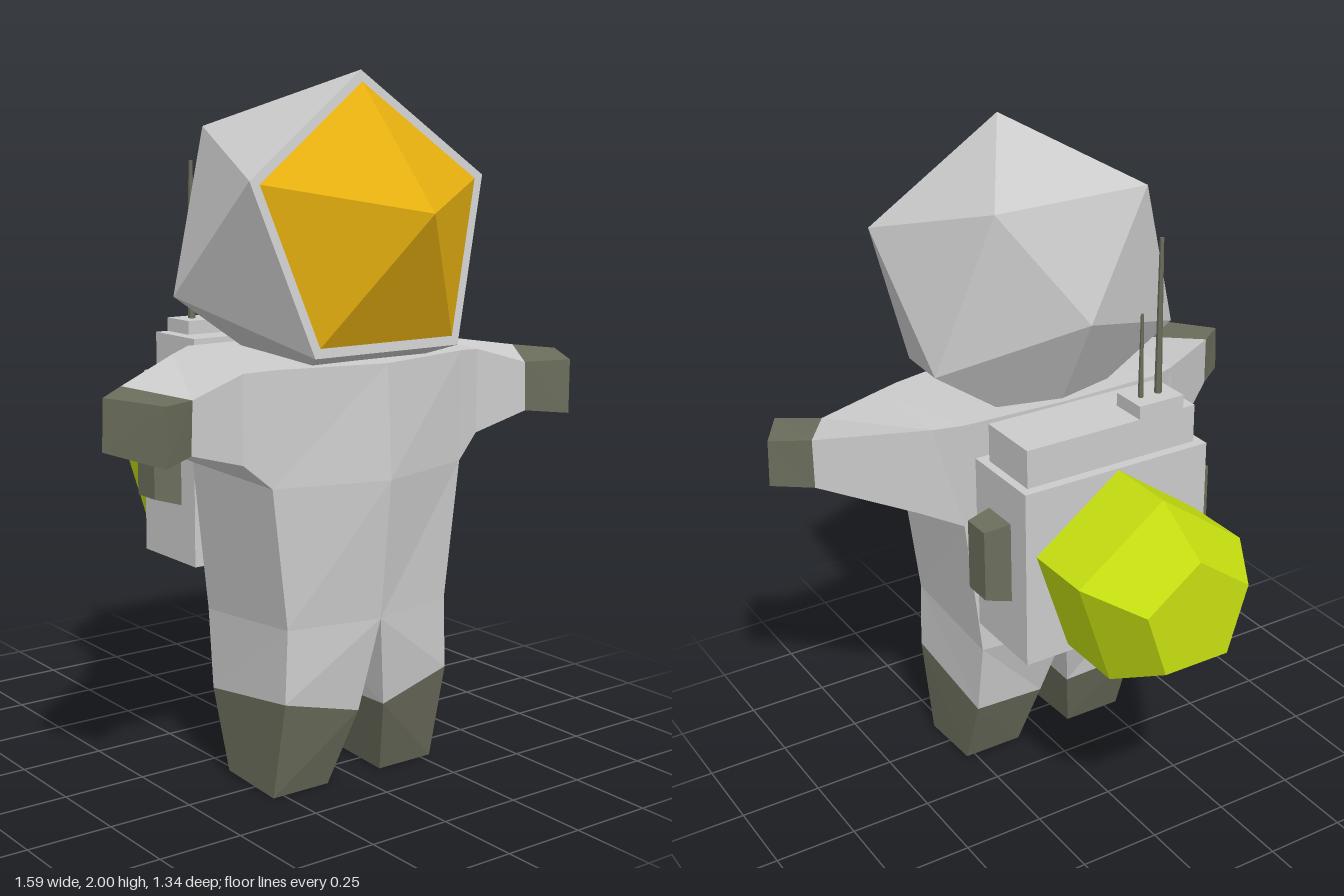
import * as THREE from 'three';
import { ConvexGeometry } from 'three/addons/geometries/ConvexGeometry.js';

const material = (color) => new THREE.MeshStandardMaterial({ color, flatShading: true });
const grey = material(0xcccccc);
const dark = material(0x6b6d5c);
const gold = material(0xe6b010);
const lime = material(0xc6df10);

// Skins a stack of matching rings and closes both ends; faces are turned outwards.
function loft(rings) {
  const tris = [];
  const v = (p) => new THREE.Vector3(...p);
  const loops = rings.map((r) => r.map(v));
  const n = loops[0].length;
  for (let i = 0; i < loops.length - 1; i++) {
    for (let j = 0; j < n; j++) {
      const k = (j + 1) % n;
      const [a, b, c, d] = [loops[i][j], loops[i][k], loops[i + 1][k], loops[i + 1][j]];
      tris.push([a, b, c], [a, c, d]);
    }
  }
  const first = loops[0], last = loops[loops.length - 1];
  for (let j = 1; j < n - 1; j++) {
    tris.push([first[0], first[j + 1], first[j]], [last[0], last[j], last[j + 1]]);
  }
  const volume = tris.reduce((s, [a, b, c]) => s + a.dot(b.clone().cross(c)), 0);
  const points = tris.flatMap((t) => (volume < 0 ? [t[0], t[2], t[1]] : t));
  const geometry = new THREE.BufferGeometry().setFromPoints(points);
  geometry.computeVertexNormals();
  return geometry;
}

export function createModel() {
  const model = new THREE.Group();
  const add = (name, geometry, mat, parent = model) => {
    const mesh = new THREE.Mesh(geometry, mat);
    mesh.name = name;
    parent.add(mesh);
    return mesh;
  };
  const box = (name, x0, x1, y0, y1, z0, z1, parent) =>
    add(name, new THREE.BoxGeometry(x1 - x0, y1 - y0, z1 - z0), grey, parent)
      .position.set((x0 + x1) / 2, (y0 + y1) / 2, (z0 + z1) / 2);

  // Helmet: a tilted icosahedron with a flat front and a shallower back
  const centre = new THREE.Vector3(0, 1.55, 0.222);
  const forward = new THREE.Vector3(0, 0.171, 0.985);
  const up = new THREE.Vector3(0, 0.985, -0.171);
  const pentagon = (depth, radius, turn) => Array.from({ length: 5 }, (_, i) => {
    const a = turn + (i * Math.PI * 2) / 5;
    return centre.clone().addScaledVector(forward, depth)
      .addScaledVector(up, Math.cos(a) * radius)
      .add(new THREE.Vector3(Math.sin(a) * radius, 0, 0));
  });
  add('helmet', new ConvexGeometry([
    ...pentagon(0.21, 0.42, 0), ...pentagon(-0.21, 0.42, Math.PI / 5),
    new THREE.Vector3(0, 1.515, -0.14),
  ]), grey);
  add('visor', new ConvexGeometry([
    ...pentagon(0.211, 0.388, 0), new THREE.Vector3(0, 1.63, 0.67),
  ]), gold);

  // Torso: six-sided rings with a ridge down the chest
  const torsoRing = (x, y, yBack, front, side, sideBack, back) => [
    [0, y, front], [x, y, side], [x, yBack, sideBack],
    [0, yBack, back], [-x, yBack, sideBack], [-x, y, side],
  ];
  add('torso', loft([
    torsoRing(0.28, 0.5, 0.47, 0.465, 0.41, 0.02, -0.012),
    torsoRing(0.33, 0.9, 0.91, 0.505, 0.41, 0.02, -0.01),
    torsoRing(0.33, 1.22, 1.24, 0.485, 0.41, 0, -0.012),
  ]), grey);

  // Limbs and pack pods, mirrored left and right
  const pack = new THREE.Group();
  pack.name = 'backpack';
  model.add(pack);
  for (const [s, sideName] of [[1, 'left'], [-1, 'right']]) {
    const flip = (ring) => ring.map(([x, y, z]) => [s * x, y, z]);

    const hip = flip([[0, 0.5, 0.465], [0.28, 0.5, 0.41], [0.28, 0.47, 0.02], [0, 0.47, -0.012]]);
    const ankle = flip([[0.045, 0.23, 0.425], [0.288, 0.29, 0.41], [0.285, 0.24, 0.05], [0.05, 0.22, 0.065]]);
    const sole = flip([[0.095, 0, 0.35], [0.285, 0, 0.35], [0.285, 0.012, 0.13], [0.095, 0.012, 0.13]]);
    add(sideName + 'Leg', loft([hip, ankle]), grey);
    add(sideName + 'Boot', loft([ankle, sole]), dark);

    const shoulder = flip([[0.33, 1.22, 0.41], [0.33, 0.9, 0.41], [0.33, 0.91, 0.02], [0.33, 1.24, 0]]);
    const upperArm = flip([[0.41, 1.215, 0.39], [0.41, 0.97, 0.39], [0.45, 0.965, 0.07], [0.41, 1.228, 0.045]]);
    const wrist = flip([[0.58, 1.165, 0.41], [0.585, 1.02, 0.41], [0.69, 1.04, 0.24], [0.69, 1.19, 0.24]]);
    const knuckles = flip([[0.7, 1.17, 0.475], [0.7, 1.01, 0.475], [0.795, 1.04, 0.32], [0.79, 1.18, 0.32]]);
    add(sideName + 'Arm', loft([shoulder, upperArm, wrist]), grey);
    add(sideName + 'Glove', loft([wrist, knuckles]), dark);

    const podRing = (x, y0, y1, z0, z1) => flip([[x, y0, z0], [x, y1, z0], [x, y1, z1], [x, y0, z1]]);
    add(sideName + 'Pod', loft([
      podRing(0.3, 0.76, 1.01, -0.2, -0.08), podRing(0.385, 0.785, 1, -0.19, -0.1),
    ]), dark, pack);
  }

  // Backpack boxes
  box('packBody', -0.305, 0.305, 0.59, 1.135, -0.28, -0.01, pack);
  box('packTop', -0.28, 0.28, 1.135, 1.25, -0.25, -0.045, pack);
  box('antennaBase', -0.24, -0.09, 1.25, 1.29, -0.25, -0.135, pack);

  // Antennas
  for (const [name, x, radius, height] of [['tallAntenna', -0.19, 0.011, 0.46], ['shortAntenna', -0.13, 0.008, 0.25]]) {
    add(name, new THREE.CylinderGeometry(radius * 0.55, radius, height, 6), dark, pack)
      .position.set(x, 1.29 + height / 2, -0.195);
  }

  // Five-sided tank with a tapered end
  const tankRing = (radius, z) => Array.from({ length: 5 }, (_, i) => {
    const a = (i * Math.PI * 2) / 5;
    return [Math.sin(a) * radius, 0.845 + Math.cos(a) * radius, z];
  });
  add('tank', loft([tankRing(0.285, -0.28), tankRing(0.285, -0.495), tankRing(0.176, -0.67)]), lime, pack);

  return model;
}
